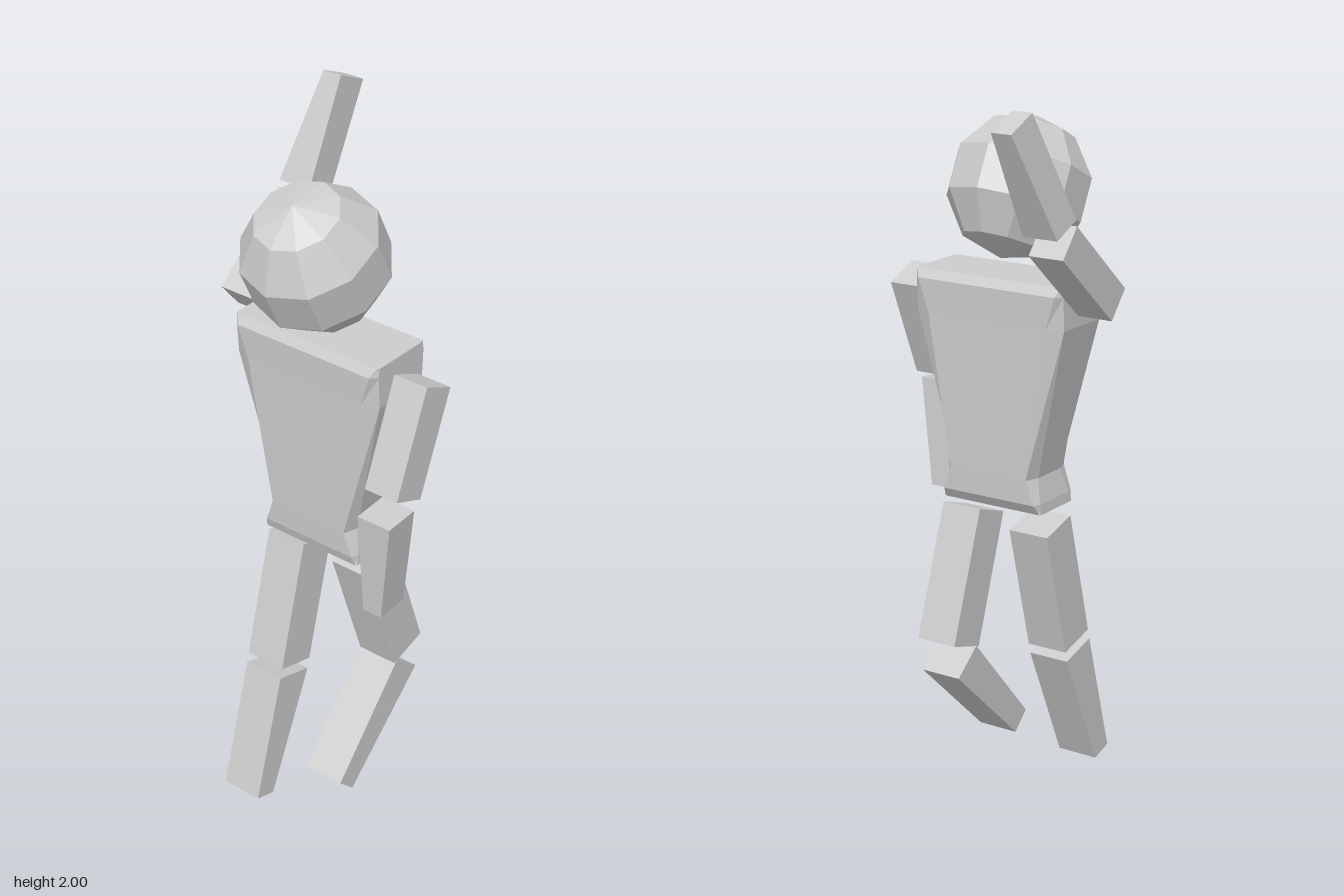
import * as THREE from 'three';

const material = new THREE.MeshStandardMaterial({ color: 0xcccccc, flatShading: true });

function addMesh(parent, name, geometry) {
  const mesh = new THREE.Mesh(geometry, material);
  mesh.name = name;
  parent.add(mesh);
  return mesh;
}

// Limb block: a box whose corners move to four [x, y] points
// (top left, top right, bottom left, bottom right) and a [back, front] z range at each end.
function limb([tl, tr, bl, br], zTop, zBottom = zTop) {
  const g = new THREE.BoxGeometry(1, 1, 1);
  const p = g.attributes.position;
  for (let i = 0; i < p.count; i++) {
    const right = p.getX(i) > 0, top = p.getY(i) > 0, front = p.getZ(i) > 0;
    const [x, y] = top ? (right ? tr : tl) : (right ? br : bl);
    p.setXYZ(i, x, y, (top ? zTop : zBottom)[front ? 1 : 0]);
  }
  g.computeVertexNormals();
  return g;
}

// Torso: eight-sided cross-sections joined from bottom to top
function torsoGeometry() {
  // y, centre x, half depth and half width of the broad faces, then of the side faces
  const levels = [
    [0.835, -0.1, 0.08, 0.155, 0.078, 0.16],
    [0.865, -0.095, 0.095, 0.15, 0.074, 0.158],
    [0.935, -0.095, 0.098, 0.125, 0.056, 0.14],
    [1.37, -0.096, 0.108, 0.192, 0.089, 0.24],
    [1.465, -0.096, 0.112, 0.222, 0.094, 0.24],
    [1.49, -0.096, 0.096, 0.236, 0.09, 0.24],
  ];
  const rings = levels.map(([y, cx, fx, fz, sx, sz]) => [
    [fx, fz], [fx, -fz], [sx, -sz], [-sx, -sz], [-fx, -fz], [-fx, fz], [-sx, sz], [sx, sz],
  ].map(([x, z]) => [cx + x, y, z]));
  const out = [];
  const tri = (...corners) => corners.forEach((c) => out.push(...c));
  for (let l = 0; l < rings.length - 1; l++) {
    for (let i = 0; i < 8; i++) {
      const j = (i + 1) % 8;
      const a = rings[l][i], b = rings[l][j], c = rings[l + 1][j], d = rings[l + 1][i];
      tri(a, b, c);
      tri(a, c, d);
    }
  }
  const bottom = rings[0], top = rings[rings.length - 1];
  for (let i = 1; i < 7; i++) {
    tri(bottom[0], bottom[i + 1], bottom[i]);
    tri(top[0], top[i], top[i + 1]);
  }
  const g = new THREE.BufferGeometry();
  g.setAttribute('position', new THREE.Float32BufferAttribute(out, 3));
  g.computeVertexNormals();
  return g;
}

export function createModel() {
  const model = new THREE.Group();
  model.name = 'figure';

  // Head, tilted sideways
  const head = addMesh(model, 'head', new THREE.SphereGeometry(0.203, 10, 5));
  head.position.set(-0.148, 1.715, 0);
  head.rotation.z = 0.46;

  addMesh(model, 'torso', torsoGeometry());

  // Lowered arm on the front side, forearm narrowing to the hand
  const frontArm = [0.26, 0.365];
  addMesh(model, 'frontUpperArm', limb(
    [[-0.15, 1.465], [-0.05, 1.42], [-0.27, 1.175], [-0.17, 1.135]], frontArm));
  addMesh(model, 'frontForearm', limb(
    [[-0.3, 1.105], [-0.195, 1.112], [-0.275, 0.79], [-0.178, 0.796]], frontArm, [0.26, 0.32]));

  // Raised arm on the back side
  const backArm = [-0.366, -0.261];
  addMesh(model, 'backUpperArm', limb(
    [[0.135, 1.695], [0.2, 1.617], [-0.108, 1.487], [-0.043, 1.41]], backArm));
  addMesh(model, 'backForearm', limb(
    [[0.277, 2.0], [0.372, 1.957], [0.14, 1.712], [0.228, 1.672]], [-0.321, -0.261], backArm));

  // Bent leg on the front side
  const frontLeg = [0.043, 0.168];
  addMesh(model, 'frontThigh', limb(
    [[-0.14, 0.777], [-0.022, 0.815], [-0.015, 0.405], [0.106, 0.442]], frontLeg));
  addMesh(model, 'frontShin', limb(
    [[-0.003, 0.41], [0.085, 0.338], [-0.262, 0.12], [-0.207, 0.068]], frontLeg));

  // Leg on the back side
  const backLeg = [-0.173, -0.048];
  addMesh(model, 'backThigh', limb(
    [[-0.155, 0.8], [-0.035, 0.767], [-0.257, 0.425], [-0.137, 0.393]], backLeg));
  addMesh(model, 'backShin', limb(
    [[-0.265, 0.395], [-0.145, 0.362], [-0.375, 0.022], [-0.308, 0.002]], backLeg));

  return model;
}
